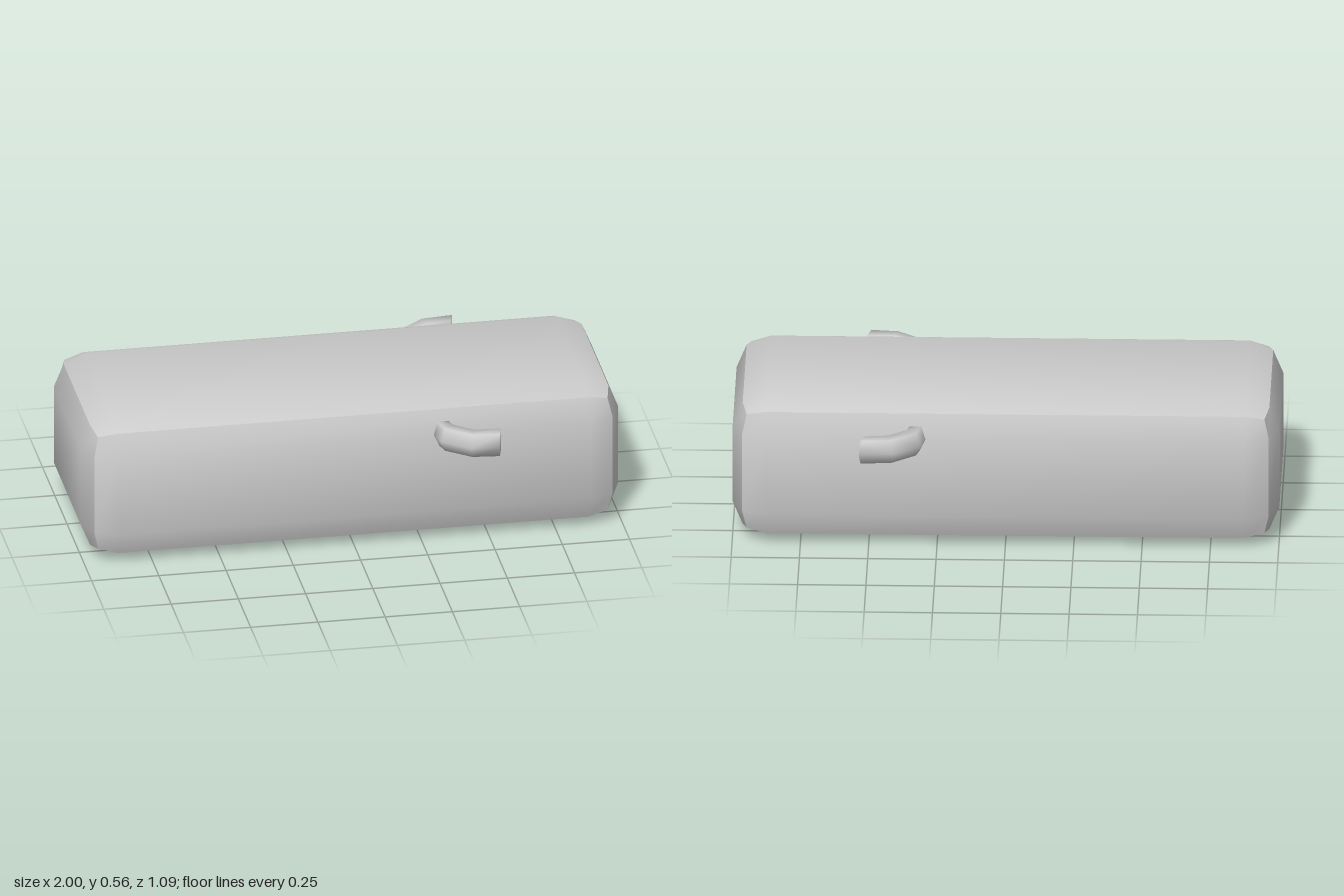
import * as THREE from 'three';
import { RoundedBoxGeometry } from 'three/addons/geometries/RoundedBoxGeometry.js';
import { toCreasedNormals } from 'three/addons/utils/BufferGeometryUtils.js';

const SIDES = 6;

// Hexagonal bent tube: each ring is centre x, z and the offset x, z to its outermost corner.
function hookGeometry(side, endTilt) {
  const rings = [
    [0.327, 0.37, -0.042, 0],
    [0.342, 0.425, -0.034, 0.032],
    [0.42, 0.489, -0.014, 0.046],
    [0.52, 0.499, endTilt, 0.048],
  ];
  const positions = [];
  const index = [];
  const face = (a, b, c) => (side > 0 ? index.push(a, b, c) : index.push(a, c, b));

  for (const [x, z, ux, uz] of rings) {
    for (let j = 0; j < SIDES; j++) {
      const a = (j / SIDES) * Math.PI * 2;
      positions.push(x + ux * Math.cos(a), 0.431 + 0.051 * Math.sin(a), side * (z + uz * Math.cos(a)));
    }
  }
  for (let i = 0; i < rings.length - 1; i++) {
    for (let j = 0; j < SIDES; j++) {
      const k = (j + 1) % SIDES;
      const a = i * SIDES, b = a + SIDES;
      face(a + j, b + j, b + k);
      face(a + j, b + k, a + k);
    }
  }
  // Closed ends
  const last = (rings.length - 1) * SIDES;
  for (let j = 1; j < SIDES - 1; j++) {
    face(last, last + j + 1, last + j);
    face(0, j, j + 1);
  }

  const geometry = new THREE.BufferGeometry();
  geometry.setAttribute('position', new THREE.Float32BufferAttribute(positions, 3));
  geometry.setIndex(index);
  geometry.computeVertexNormals();
  return geometry;
}

export function createModel() {
  const group = new THREE.Group();
  const material = new THREE.MeshStandardMaterial({ color: 0xcccccc });
  const add = (name, geometry) => {
    const mesh = new THREE.Mesh(geometry, material);
    mesh.name = name;
    group.add(mesh);
    return mesh;
  };

  // Long body with two-step bevels, creased along the middle of each bevel
  const body = new RoundedBoxGeometry(2, 0.555, 0.79, 1, 0.125);
  add('body', toCreasedNormals(body, 0.6)).position.y = 0.2775;

  // Bent hooks on the two long sides
  add('frontHook', hookGeometry(1, -0.012));
  add('backHook', hookGeometry(-1, 0.012));

  return group;
}
